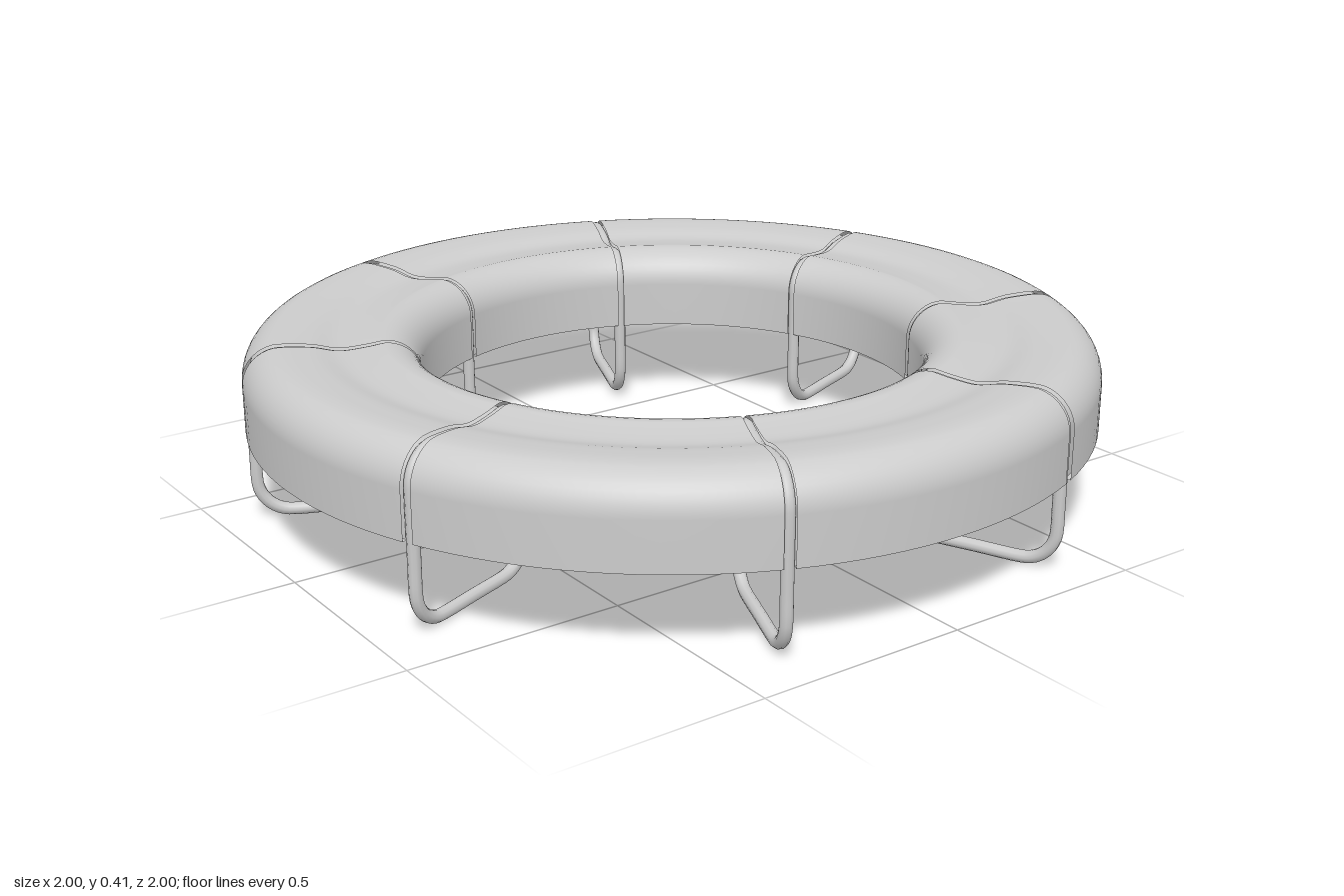
import * as THREE from 'three';

const R_OUT = 1, R_IN = 0.59, BASE = 0.21, WALL = 0.014, TUBE = 0.0145, COUNT = 8;

// Points of a circular arc in the (radius, height) plane
function arc(cx, cy, r, a0, a1, n) {
  return Array.from({ length: n + 1 }, (_, i) => {
    const a = a0 + (a1 - a0) * i / n;
    return new THREE.Vector2(cx + r * Math.cos(a), cy + r * Math.sin(a));
  });
}

// Seat section from outer foot over the dished top to inner foot, inset by d
function section(d) {
  const top = [[0.84, 0.407], [0.78, 0.394], [0.72, 0.398]];
  return [
    new THREE.Vector2(R_OUT - d, BASE),
    ...arc(R_OUT - 0.09, 0.323, 0.09 - d, 0, Math.PI / 2, 10),
    ...top.map(([r, y]) => new THREE.Vector2(r, y - d)),
    ...arc(R_IN + 0.085, 0.32, 0.085 - d, Math.PI / 2, Math.PI, 10),
    new THREE.Vector2(R_IN + d, BASE),
  ];
}

// Smooths the dished top between the two rounded shoulders
function smoothSection(d) {
  const p = section(d);
  const dish = new THREE.SplineCurve(p.slice(11, 16)).getPoints(20);
  return [...p.slice(0, 11), ...dish.slice(1, -1), ...p.slice(15)];
}

export function createModel() {
  const group = new THREE.Group();
  const grey = new THREE.MeshStandardMaterial({ color: 0xcccccc, side: THREE.DoubleSide });

  // Hollow seat segments: outer skin, inner skin and the two bottom lips
  const outer = smoothSection(0);
  const inner = smoothSection(WALL).reverse();
  const lips = [
    [new THREE.Vector2(R_OUT - WALL, BASE), new THREE.Vector2(R_OUT, BASE)],
    [new THREE.Vector2(R_IN, BASE), new THREE.Vector2(R_IN + WALL, BASE)],
  ];
  const gap = 0.025, step = Math.PI * 2 / COUNT;
  const skins = [outer, inner, ...lips].map(
    (pts) => new THREE.LatheGeometry(pts, 16, gap / 2, step - gap));

  // Closed tube loop: over the seat section and down to a rounded foot
  const inset = 0.018, ro = R_OUT - inset, ri = R_IN + inset, c = 0.08;
  const path = [
    ...smoothSection(inset),
    new THREE.Vector2(ri, 0.15),
    ...arc(ri + c, TUBE + c, c, Math.PI, Math.PI * 1.5, 6),
    new THREE.Vector2((ri + ro) / 2, TUBE),
    ...arc(ro - c, TUBE + c, c, Math.PI * 1.5, Math.PI * 2, 6),
    new THREE.Vector2(ro, 0.15),
  ].map((p) => new THREE.Vector3(p.x, p.y, 0));
  const loop = new THREE.CatmullRomCurve3(path, true, 'centripetal');
  const loopGeo = new THREE.TubeGeometry(loop, 120, TUBE, 10, true);

  for (let i = 0; i < COUNT; i++) {
    const angle = (i + 0.5) * step;
    const segment = new THREE.Group();
    segment.name = 'seatSegment';
    segment.rotation.y = angle;
    for (const geo of skins) {
      const skin = new THREE.Mesh(geo, grey);
      skin.name = 'seatShell';
      segment.add(skin);
    }
    const leg = new THREE.Mesh(loopGeo, grey);
    leg.name = 'legLoop';
    leg.rotation.y = angle;
    group.add(segment, leg);
  }
  return group;
}
